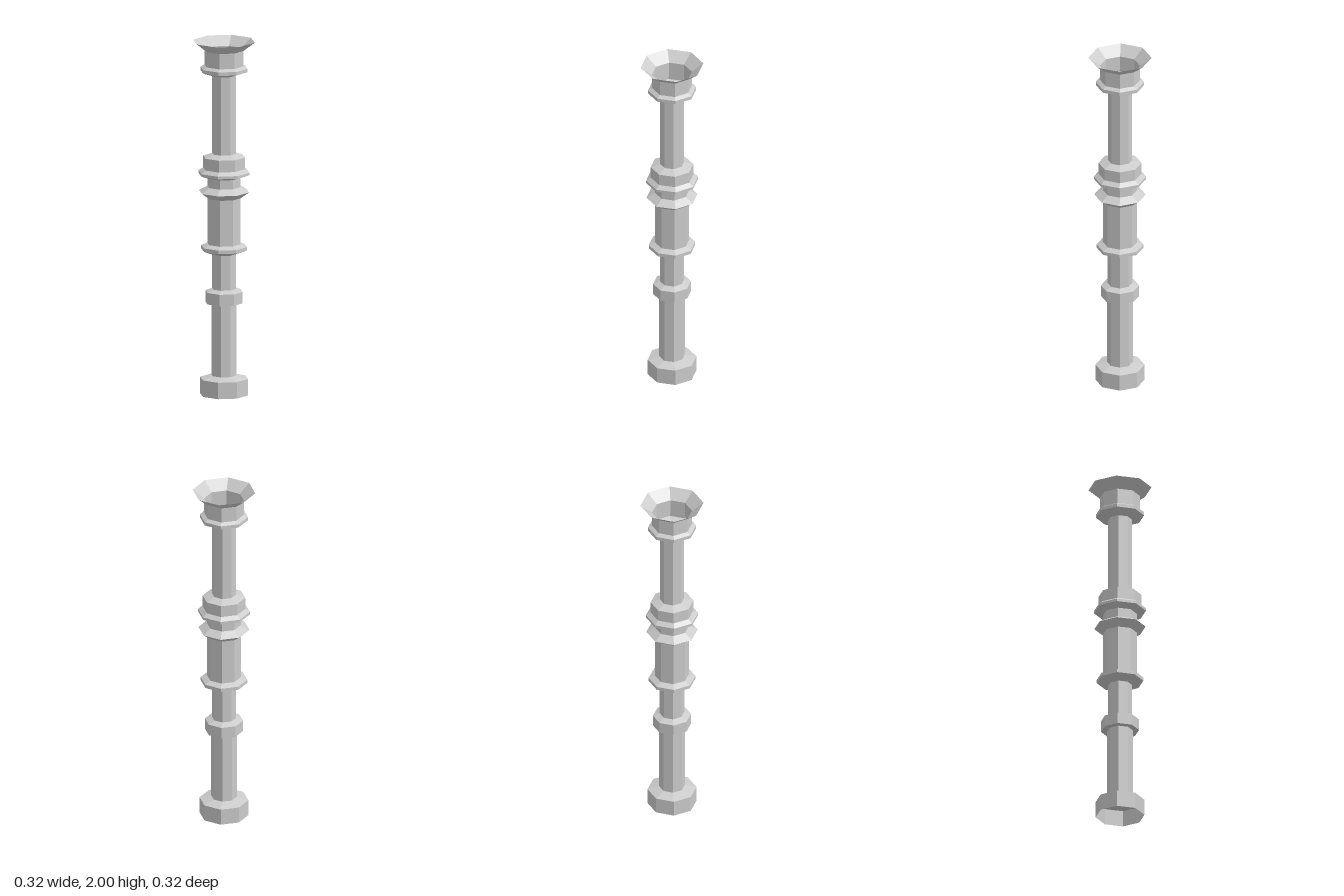
import * as THREE from 'three';

const SIDES = 8;
const material = new THREE.MeshStandardMaterial({
  color: 0xcccccc, flatShading: true, side: THREE.DoubleSide,
});

// Octagonal shell from [half width across flats, height] pairs, flats facing the axes.
function octagonShell(name, profile) {
  const k = 1 / Math.cos(Math.PI / SIDES);
  const points = profile.map(([r, y]) => new THREE.Vector2(r * k, y));
  const mesh = new THREE.Mesh(new THREE.LatheGeometry(points, SIDES, Math.PI / SIDES), material);
  mesh.name = name;
  return mesh;
}

export function createModel() {
  const group = new THREE.Group();
  group.name = 'octagonalPipe';

  // Open tube from bottom to top; each section starts where the last one ends.
  const sections = [
    ['base', [[0.126, 0], [0.126, 0.093], [0.066, 0.11]]],
    ['lowerShaft', [[0.066, 0.52]]],
    ['lowerCollar', [[0.098, 0.52], [0.098, 0.585], [0.063, 0.6]]],
    ['lowerMiddleShaft', [[0.063, 0.797]]],
    ['lowerRing', [[0.12, 0.82], [0.12, 0.84], [0.088, 0.855]]],
    ['gripSleeve', [[0.088, 1.115]]],
    ['middleFlange', [[0.132, 1.15], [0.088, 1.178]]],
    ['middleNeck', [[0.088, 1.23]]],
    ['middleRing', [[0.134, 1.247], [0.134, 1.262], [0.11, 1.28]]],
    ['middleCollar', [[0.11, 1.347], [0.062, 1.365]]],
    ['upperShaft', [[0.062, 1.808]]],
    ['upperRing', [[0.124, 1.83], [0.124, 1.85], [0.103, 1.863]]],
    ['upperNeck', [[0.103, 1.95]]],
    ['flaredMouth', [[0.162, 2]]],
  ];
  let last = null;
  for (const [name, points] of sections) {
    group.add(octagonShell(name, last ? [last, ...points] : points));
    last = points[points.length - 1];
  }
  return group;
}
